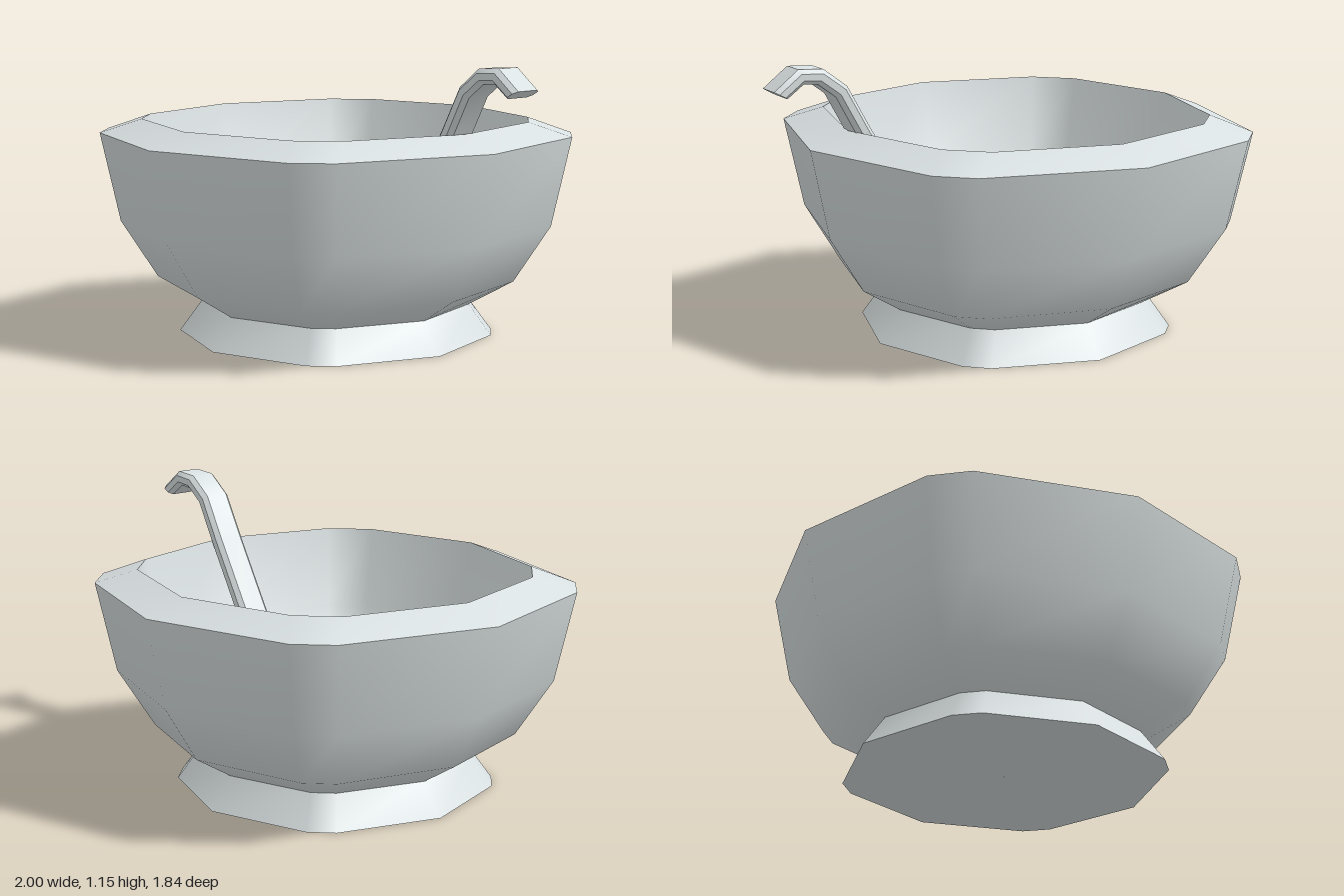
import * as THREE from 'three';
import { toCreasedNormals } from 'three/addons/utils/BufferGeometryUtils.js';

// Quarter outlines of the hand-cut shapes (unit radius); each repeats four times
const OUTER_CUT = [[1, 0], [0.805, 0.67], [0.67, 0.805]];
const INNER_CUT = [[1, 0], [0.82, 0.64], [0.64, 0.82]];
const FOOT_CUT = [[1, 0], [0.785, 0.655], [0.655, 0.785]];
const CUP_CUT = [[1, 0], [0.76, 0.65], [0.65, 0.76]];

// One horizontal ring of a cut outline
function ring(cut, r, y) {
  const points = [];
  for (let q = 0; q < 4; q++) {
    for (const [x, z] of cut) {
      const [px, pz] = [[x, z], [-z, x], [-x, -z], [z, -x]][q];
      points.push([px * r, y, pz * r]);
    }
  }
  return points;
}

// Joins rings of points into a smooth skin
function skin(rings) {
  const n = rings[0].length, index = [];
  for (let i = 0; i < rings.length - 1; i++) {
    for (let j = 0; j < n; j++) {
      const a = i * n + j, b = i * n + (j + 1) % n;
      index.push(a, a + n, b, b, a + n, b + n);
    }
  }
  const g = new THREE.BufferGeometry();
  g.setAttribute('position', new THREE.Float32BufferAttribute(rings.flat(2), 3));
  g.setIndex(index);
  g.computeVertexNormals();
  return g;
}

// Sweeps a [radius, height] profile around a cut outline
const turned = (cut, profile) => skin(profile.map(([r, y]) => ring(cut, r, y)));

export function createModel() {
  const model = new THREE.Group();
  const stone = new THREE.MeshStandardMaterial({ color: 0xd9e0e1 });
  stone.name = 'pale grey stone';

  function add(parent, name, geometry) {
    const mesh = new THREE.Mesh(geometry, stone);
    mesh.name = name;
    parent.add(mesh);
  }

  // Bowl: profiles run up the outside, over the rim and down the inside
  const bowl = new THREE.Group();
  bowl.name = 'bowl';
  bowl.position.x = -0.085;
  model.add(bowl);
  add(bowl, 'footBase', turned(FOOT_CUT, [[0.001, 0], [0.63, 0]]));
  add(bowl, 'foot', turned(FOOT_CUT, [[0.63, 0], [0.54, 0.127]]));
  add(bowl, 'bowlOuterWall', skin([ring(FOOT_CUT, 0.54, 0.127), ring(OUTER_CUT, 0.7, 0.227),
    ring(OUTER_CUT, 0.842, 0.458), ring(OUTER_CUT, 0.918, 0.822)]));
  add(bowl, 'bowlRim', skin([ring(OUTER_CUT, 0.918, 0.822), ring(INNER_CUT, 0.757, 0.882)]));
  add(bowl, 'bowlInnerWall', turned(INNER_CUT,
    [[0.757, 0.882], [0.675, 0.56], [0.55, 0.36], [0.36, 0.25], [0.18, 0.212], [0.001, 0.2]]));

  // Ladle cup
  const ladle = new THREE.Group();
  ladle.name = 'ladle';
  model.add(ladle);
  const cup = new THREE.Group();
  cup.name = 'ladleCup';
  cup.position.x = 0.104;
  ladle.add(cup);
  add(cup, 'cupOuterWall', turned(CUP_CUT,
    [[0.001, 0.25], [0.11, 0.26], [0.21, 0.31], [0.27, 0.395], [0.292, 0.515]]));
  add(cup, 'cupRim', turned(CUP_CUT, [[0.292, 0.515], [0.218, 0.515]]));
  add(cup, 'cupInnerWall', turned(CUP_CUT,
    [[0.218, 0.515], [0.195, 0.425], [0.15, 0.36], [0.08, 0.325], [0.001, 0.316]]));

  // Ladle handle: chamfered bar swept along a bent path in the x-y plane;
  // the first and last points only set the angle of the ends
  const path = [[0.16, 0.095], [0.395, 0.49], [0.63, 0.885], [0.72, 1.047],
    [0.807, 1.112], [0.888, 1.118], [0.973, 1.055], [0.96, 0.99]];
  const section = [[0.014, -0.067], [-0.014, -0.067], [-0.031, -0.049], [-0.031, 0.049],
    [-0.014, 0.067], [0.014, 0.067], [0.031, 0.049], [0.031, -0.049]];
  const rings = path.slice(1, -1).map(([x, y], i) => {
    const before = path[i], after = path[i + 2];
    const t = new THREE.Vector2(after[0] - before[0], after[1] - before[1]).normalize();
    return section.map(([u, z]) => [x - t.y * u, y + t.x * u, z]);
  });
  add(ladle, 'ladleHandle', toCreasedNormals(skin(rings), 0.66));

  // End caps close to the middle of the end ring
  const cap = (edge) => {
    const mid = [0, 1, 2].map(k => edge.reduce((s, p) => s + p[k], 0) / edge.length);
    return skin([edge, edge.map(() => mid)]);
  };
  add(ladle, 'handleTip', cap(rings[rings.length - 1]));
  add(ladle, 'handleRoot', cap([...rings[0]].reverse()));

  return model;
}
